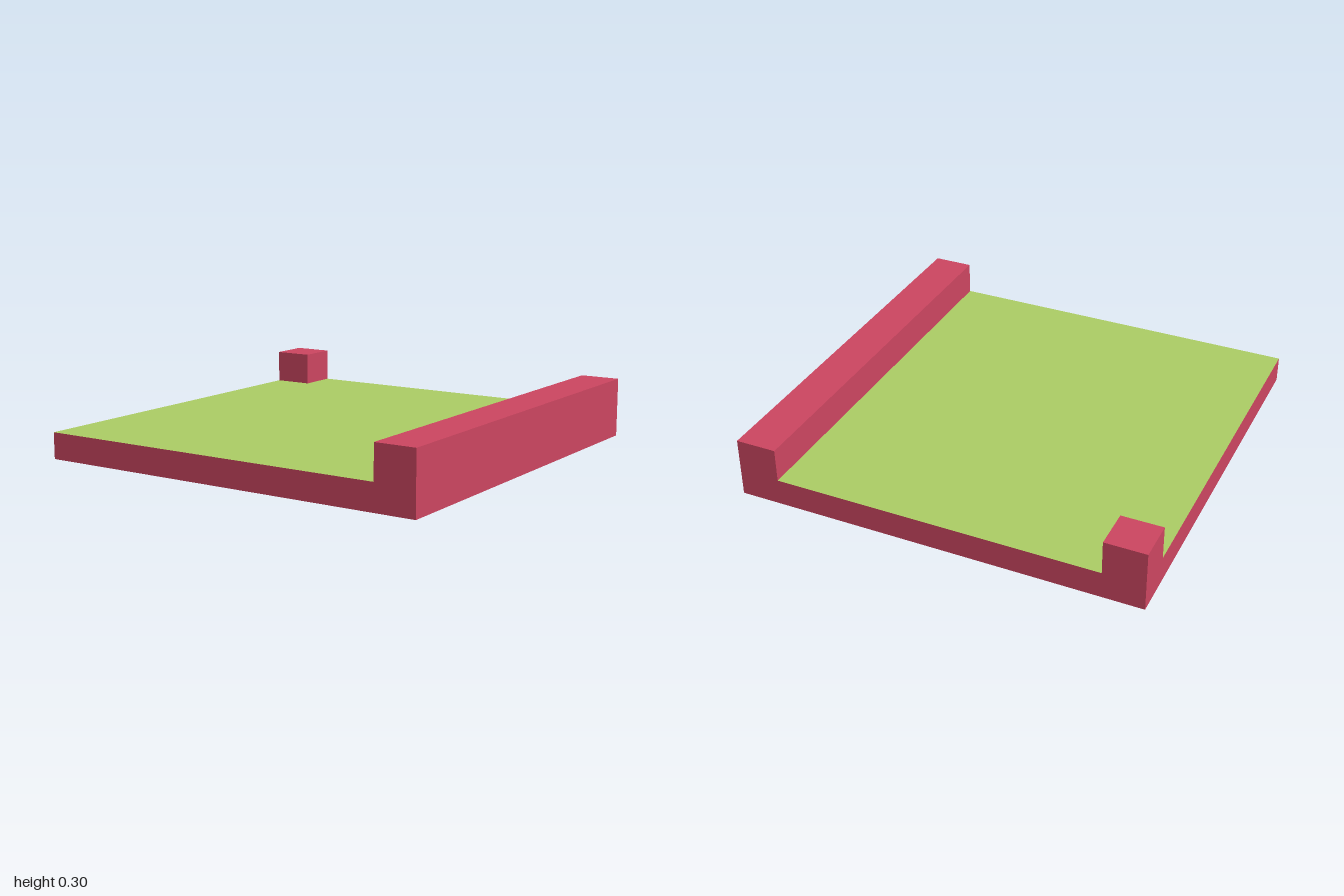
import * as THREE from 'three';

export function createModel() {
  const model = new THREE.Group();
  model.name = 'floorTile';

  const red = new THREE.MeshStandardMaterial({ color: 0xcb4560 });
  red.name = 'wallRed';
  const green = new THREE.MeshStandardMaterial({ color: 0xabcc64 });
  green.name = 'grassGreen';

  const FLOOR = 0.13, TOP = 0.295, WALL = 0.2;

  // Box given by its lowest and highest corners
  function block(name, min, max, material) {
    const size = max.map((v, i) => v - min[i]);
    const mesh = new THREE.Mesh(new THREE.BoxGeometry(...size), material);
    mesh.position.set(...max.map((v, i) => (v + min[i]) / 2));
    mesh.name = name;
    model.add(mesh);
  }

  // Floor slab: red sides and underside, green top face
  block('floorSlab', [-1, 0, -1], [1 - WALL, FLOOR, 1], [red, red, green, red, red, red]);
  // Full-length wall along the left edge
  block('sideWall', [1 - WALL, 0, -1], [1, TOP, 1], red);
  // Small post on the back right corner
  block('cornerPost', [-1, FLOOR, -1], [-1 + WALL, TOP, -1 + WALL], red);

  return model;
}
